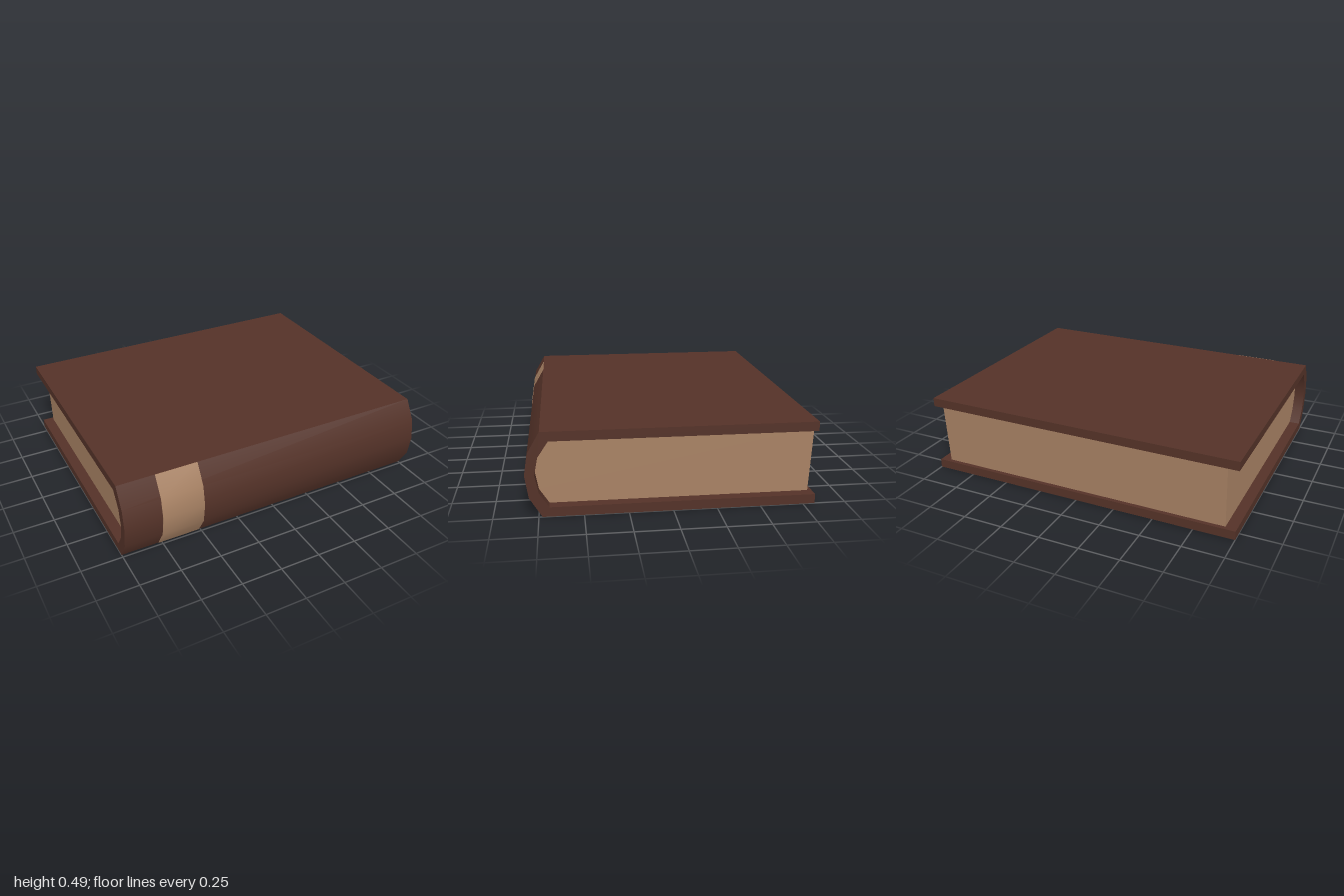
import * as THREE from 'three';
import { toCreasedNormals } from 'three/addons/utils/BufferGeometryUtils.js';

const leather = new THREE.MeshStandardMaterial({ name: 'brown leather', color: 0x543228 });
const paper = new THREE.MeshStandardMaterial({ name: 'tan paper', color: 0xa88264 });

// Rounded spine curves as [z, y], bottom to top
const outerSpine = [[0.73, 0], [0.8, 0.115], [0.82, 0.245], [0.8, 0.37], [0.73, 0.49]];
const innerSpine = [[0.69, 0.055], [0.745, 0.14], [0.765, 0.245], [0.745, 0.345], [0.685, 0.435]];

// Extrudes a [z, y] outline along x from x0 to x1
function slab(name, outline, x0, x1, material) {
  const shape = new THREE.Shape(outline.map(([z, y]) => new THREE.Vector2(-z, y)));
  const geometry = new THREE.ExtrudeGeometry(shape, { depth: x1 - x0, bevelEnabled: false });
  geometry.rotateY(Math.PI / 2).translate(x0, 0, 0);
  const mesh = new THREE.Mesh(toCreasedNormals(geometry, 0.75), material);
  mesh.name = name;
  return mesh;
}

export function createModel() {
  const book = new THREE.Group();
  book.name = 'book';

  // Both boards and the spine in one wrap
  const wrap = [
    [-0.82, 0], ...outerSpine, [-0.82, 0.49],
    [-0.82, 0.435], ...[...innerSpine].reverse(), [-0.82, 0.055],
  ];
  book.add(slab('cover', wrap, -1, 1, leather));

  // Page block, inset at both ends, with a slightly slanted fore edge
  const block = [[-0.795, 0.055], ...innerSpine, [-0.815, 0.435]];
  book.add(slab('pages', block, -0.934, 0.934, paper));

  // Thin band across the spine
  const raised = outerSpine.map(([z, y]) => [z + 0.003, y]);
  book.add(slab('spineBand', [...raised, ...[...outerSpine].reverse()], -0.77, -0.51, paper));

  return book;
}
